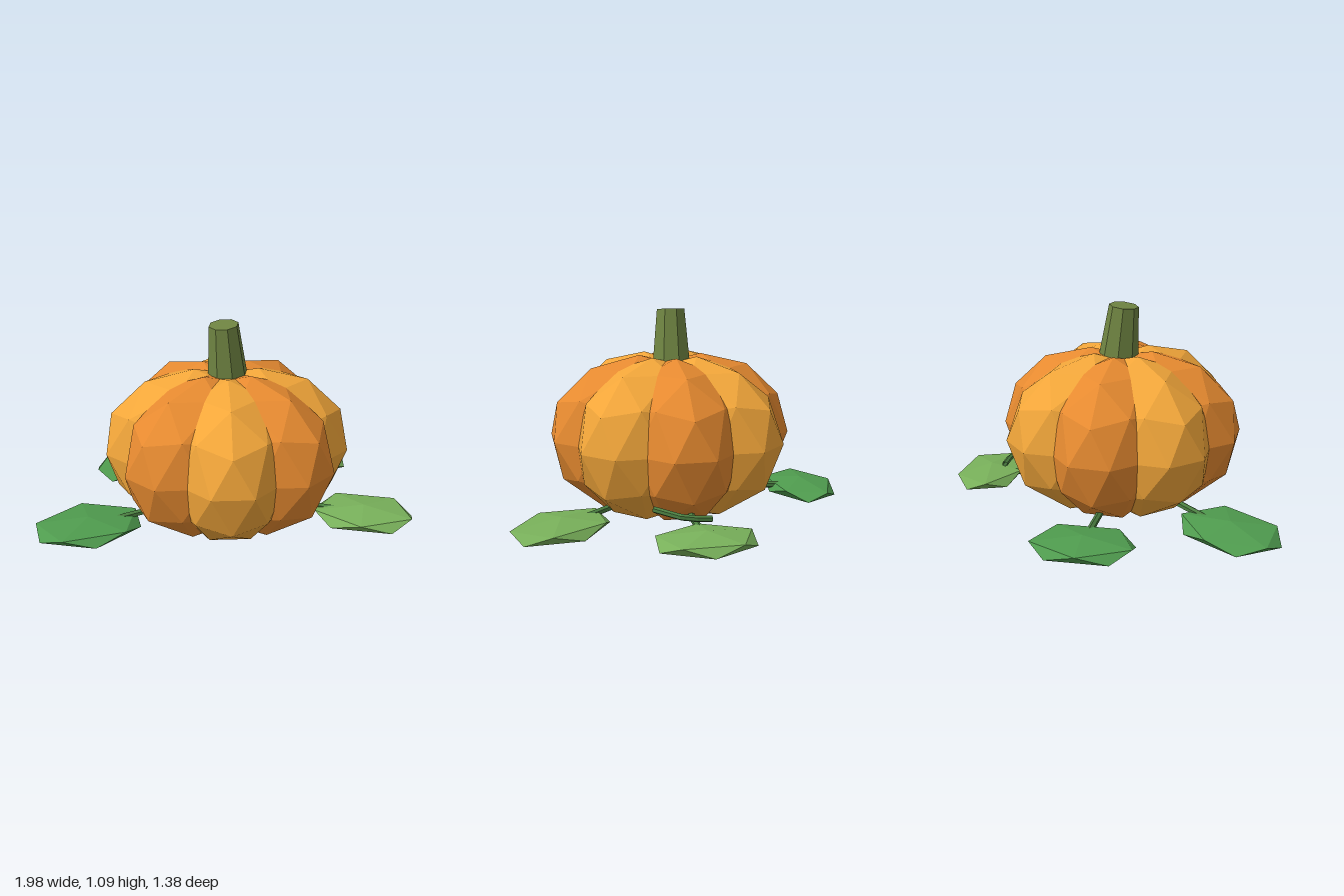
import * as THREE from 'three';

const mat = (color) => new THREE.MeshStandardMaterial({ color, flatShading: true });

// Faceted ball with one vertex pointing straight up and an upper-ring vertex towards +z
function facetedBall(detail) {
  return new THREE.IcosahedronGeometry(1, detail)
    .rotateZ(Math.atan(2 / (1 + Math.sqrt(5))))
    .rotateY(Math.PI / 2);
}

function addMesh(parent, name, geometry, material) {
  const mesh = new THREE.Mesh(geometry, material);
  mesh.name = name;
  parent.add(mesh);
  return mesh;
}

// Thin six-sided stalk through a few points, straight between them
function stalkGeometry(points, radius) {
  const path = new THREE.CurvePath();
  const v = points.map((p) => new THREE.Vector3(...p));
  for (let i = 1; i < v.length; i++) path.add(new THREE.LineCurve3(v[i - 1], v[i]));
  return new THREE.TubeGeometry(path, (v.length - 1) * 2, radius, 6, false);
}

export function createModel() {
  const model = new THREE.Group();
  model.name = 'pumpkin';

  const lobeMats = [mat(0xf2a63a), mat(0xe68a30)];
  const stemMat = mat(0x6f8442);
  const vineMat = mat(0x4a7d40);
  vineMat.side = THREE.DoubleSide;
  const lightLeaf = mat(0x78b05a);
  const darkLeaf = mat(0x4f9b4e);

  // Body: eight overlapping lobes in alternating shades
  const body = new THREE.Group();
  body.name = 'body';
  body.position.set(0.009, 0.43, 0.067);
  model.add(body);
  const lobe = facetedBall(1).scale(0.337, 0.425, 0.484).translate(0, 0, 0.165);
  for (let i = 0; i < 8; i++) {
    addMesh(body, 'lobe', lobe, lobeMats[i % 2]).rotation.y = (i * Math.PI) / 4;
  }

  // Stem: tapered, leaning slightly
  const stem = addMesh(model, 'stem',
    new THREE.CylinderGeometry(0.077, 0.108, 0.32, 8), stemMat);
  stem.position.set(0.006, 0.932, 0.062);
  stem.rotation.set(0.05, 0.2, 0.08);

  // Leaves: flattened faceted balls; dir is the long axis on the ground
  const leafGeo = facetedBall(0);
  const leaves = [
    { at: [0.73, 0.083, 0.225], dir: [1, 0.25], size: [0.30, 0.05, 0.215], m: lightLeaf },
    { at: [-0.72, 0.072, 0.265], dir: [-1, 0.27], size: [0.31, 0.05, 0.23], m: darkLeaf },
    { at: [0.525, 0.09, -0.48], dir: [1, 1], size: [0.275, 0.05, 0.20], m: lightLeaf },
    { at: [-0.51, 0.09, -0.455], dir: [-0.85, 1], size: [0.295, 0.05, 0.20], m: darkLeaf },
  ];
  for (const { at, dir, size, m } of leaves) {
    const leaf = addMesh(model, 'leaf', leafGeo, m);
    leaf.position.set(...at);
    leaf.scale.set(...size);
    leaf.rotation.y = -Math.atan2(dir[1], dir[0]);

    // Stalk from under the body into the leaf
    const [x, y, z] = at;
    const start = [x * 0.4, 0.12, 0.067 + (z - 0.067) * 0.4];
    const end = [x * 0.85, y + 0.01, 0.067 + (z - 0.067) * 0.85];
    addMesh(model, 'leafStalk', stalkGeometry([start, end], 0.018), vineMat);
  }

  // Loose vine resting above the back leaf
  addMesh(model, 'vine',
    stalkGeometry([[0.42, 0.16, -0.445], [0.51, 0.17, -0.36], [0.52, 0.185, -0.18]], 0.016),
    vineMat);

  return model;
}
